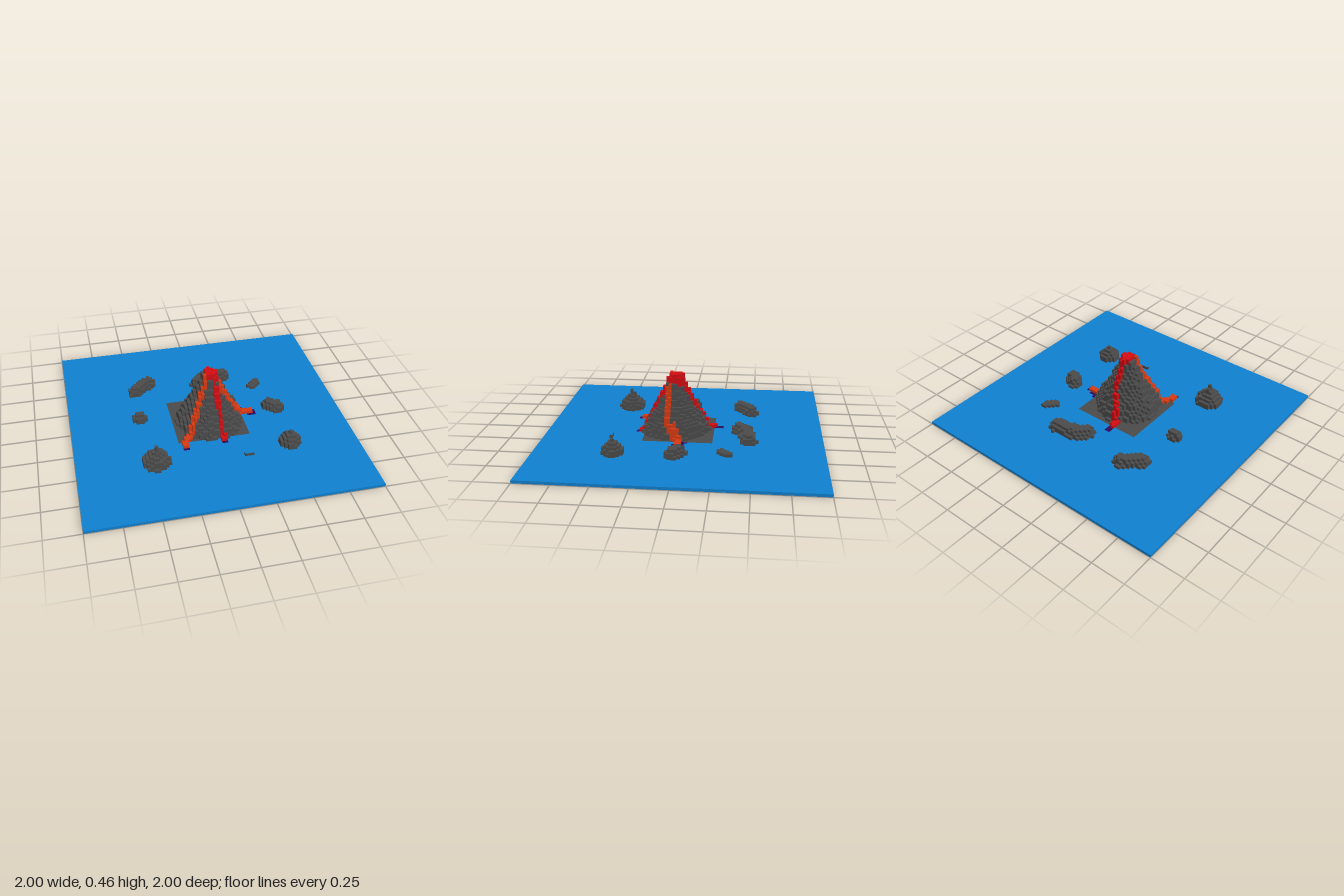
import * as THREE from 'three';

const N = 92, V = 2 / N; // cells per side, cell size
const mat = (name, color, side = THREE.FrontSide) =>
  Object.assign(new THREE.MeshStandardMaterial({ color, side }), { name });

// Repeatable value 0..1 for a cell
const hash = (i, k) => {
  const s = Math.sin(i * 127.1 + k * 311.7) * 43758.5453;
  return s - Math.floor(s);
};
// Linear lookup of height over radius
const lookup = (pts, r) => {
  if (r <= pts[0][0]) return pts[0][1];
  for (let n = 1; n < pts.length; n++) {
    const [r0, h0] = pts[n - 1], [r1, h1] = pts[n];
    if (r <= r1) return h0 + (h1 - h0) * (r - r0) / (r1 - r0);
  }
  return 0;
};
// Distance from a point to a line segment
const segment = (x, z, [ax, az], [bx, bz]) => {
  const dx = bx - ax, dz = bz - az;
  const t = THREE.MathUtils.clamp(((x - ax) * dx + (z - az) * dz) / (dx * dx + dz * dz || 1), 0, 1);
  return Math.hypot(x - ax - dx * t, z - az - dz * t);
};

export function createModel() {
  const group = new THREE.Group();
  const water = mat('water blue', 0x0f80d0);
  const rock = mat('rock grey', 0x4b4b4b);
  const red = mat('lava red', 0xd40c12);
  const orange = mat('lava orange', 0xd83a12);
  const purple = mat('obsidian purple', 0x2c0a5e);

  // Columns of cells: height in layers, part name and material
  const cells = new Map();
  const at = (i, k) => cells.get(i * N + k);
  const paint = (part, material, heightAt) => {
    for (let i = 0; i < N; i++) for (let k = 0; k < N; k++) {
      const h = heightAt((i + 0.5) * V - 1, (k + 0.5) * V - 1, at(i, k)?.h ?? 1, i, k);
      if (h > 0) cells.set(i * N + k, { i, k, h, part, material });
    }
  };

  // Square ground under the mountain, flush with the water
  paint('ground', rock, (x, z) => (x > -0.27 && x < 0.26 && z > -0.21 && z < 0.28 ? 1 : 0));

  // Stepped cone with slightly rugged sides
  const slope = [[0.05, 0.44], [0.08, 0.35], [0.13, 0.25], [0.18, 0.16], [0.215, 0.1], [0.24, 0.04]];
  paint('mountain', rock, (x, z, old, i, k) => {
    const a = Math.atan2(z - 0.065, x - 0.01);
    const r = Math.hypot(x - 0.01, z - 0.065) * (1 + 0.03 * Math.sin(5 * a) + 0.02 * Math.sin(9 * a + 1));
    const h = lookup(slope, r) / V;
    return h && Math.max(2, Math.round(h + (r > 0.08 ? (hash(i, k) - 0.5) * 0.8 : 0)));
  });

  // Islands: spine ends, radius, height profile by share of radius
  const spire = [[0.1, 8], [0.2, 6], [0.45, 5], [0.7, 4], [0.9, 3], [1, 2]];
  const knoll = [[0.15, 6], [0.4, 5], [0.65, 4], [0.85, 3], [1, 2]];
  const low = [[0.4, 4], [0.75, 3], [1, 2]];
  const flat = [[1, 2]];
  [
    [[-0.45, 0.46], [-0.45, 0.46], 0.097, spire],
    [[0.51, 0.445], [0.51, 0.445], 0.075, knoll],
    [[-0.5, -0.04], [-0.48, -0.04], 0.042, low],
    [[0.485, -0.005], [0.535, 0.035], 0.054, low],
    [[0.435, -0.3], [0.475, -0.33], 0.034, flat],
    [[-0.475, -0.395], [-0.36, -0.485], 0.052, low],
    [[0.02, -0.4], [0.08, -0.46], 0.055, low],
    [[0.08, -0.45], [0.23, -0.475], 0.06, low],
  ].forEach(([a, b, radius, profile]) => paint('islands', rock, (x, z, old) => {
    const d = segment(x, z, a, b) / radius;
    const h = d <= 1 ? Math.round(lookup(profile, d)) : 0;
    return h > old || (h && old === 1) ? h : 0;
  }));

  // Cooled rock where each stream meets the water
  [
    [[-0.07, -0.25], [-0.07, -0.225], 0.027],
    [[0.065, 0.3], [0.07, 0.325], 0.022],
    [[-0.22, 0.31], [-0.22, 0.345], 0.03],
    [[0.28, 0.0], [0.34, 0.03], 0.035],
  ].forEach(([a, b, radius]) => paint('cooledLava', purple, (x, z, old) =>
    (old === 1 && segment(x, z, a, b) < radius ? 1 : 0)));

  // Lava streams lie one layer above the slope, and a lava cap fills the summit
  const raised = new Set();
  const stream = (part, material, path, radius) => paint(part, material, (x, z, old, i, k) => {
    const hit = path.some((p, n) => n && segment(x, z, path[n - 1], p) < radius);
    if (!hit || raised.has(i * N + k)) return 0;
    raised.add(i * N + k);
    return old + 1;
  });
  stream('lavaCap', red, [[0.012, 0.065], [0.03, 0.065]], 0.045);
  stream('backStream', red,
    [[0.02, 0.07], [0.025, -0.03], [0.01, -0.09], [-0.03, -0.13], [-0.06, -0.17], [-0.07, -0.215]], 0.018);
  stream('frontStream', red, [[0.025, 0.08], [0.05, 0.19], [0.065, 0.315]], 0.016);
  stream('rightStream', orange, [[0, 0.08], [-0.1, 0.16], [-0.2, 0.26], [-0.22, 0.33]], 0.02);
  stream('leftStream', orange,
    [[0.04, 0.09], [0.12, 0.115], [0.19, 0.105], [0.24, 0.04], [0.28, 0.01], [0.335, 0.025]], 0.02);

  // Outer faces of every column, gathered by part
  const parts = new Map();
  const sides = [[1, 0], [-1, 0], [0, 1], [0, -1]];
  for (const { i, k, h, part, material } of cells.values()) {
    if (!parts.has(part)) parts.set(part, { material, points: [] });
    const { points } = parts.get(part);
    const quad = (a, b, c, d) => points.push(...a, ...b, ...c, ...a, ...c, ...d);
    const x0 = i * V - 1, x1 = x0 + V, z0 = k * V - 1, z1 = z0 + V, y = h * V;
    quad([x0, y, z0], [x0, y, z1], [x1, y, z1], [x1, y, z0]);
    quad([x0, 0, z0], [x1, 0, z0], [x1, 0, z1], [x0, 0, z1]);
    for (const [dx, dz] of sides) {
      const lower = at(i + dx, k + dz)?.h ?? 1;
      if (lower >= h) continue;
      const cx = x0 + V / 2 * (1 + dx), cz = z0 + V / 2 * (1 + dz);
      const tx = dz * V / 2, tz = -dx * V / 2, lo = lower * V;
      quad([cx - tx, lo, cz - tz], [cx + tx, lo, cz + tz], [cx + tx, y, cz + tz], [cx - tx, y, cz - tz]);
    }
  }
  for (const [name, { material, points }] of parts) {
    const geometry = new THREE.BufferGeometry();
    geometry.setAttribute('position', new THREE.Float32BufferAttribute(points, 3));
    geometry.computeVertexNormals();
    const mesh = new THREE.Mesh(geometry, material);
    mesh.name = name;
    group.add(mesh);
  }

  // Sea slab and a small rock with a pool on top
  const box = (name, material, size, position) => {
    const mesh = new THREE.Mesh(new THREE.BoxGeometry(...size), material);
    mesh.position.set(...position);
    mesh.name = name;
    group.add(mesh);
  };
  box('sea', water, [2, V - 0.002, 2], [0, V / 2, 0]);
  box('smallRock', rock, [3 * V, V, V], [0.196, 1.5 * V, 0.51]);
  box('rockPool', water, [3 * V, 0.002, V], [0.196, 2 * V + 0.001, 0.51]);
  return group;
}
